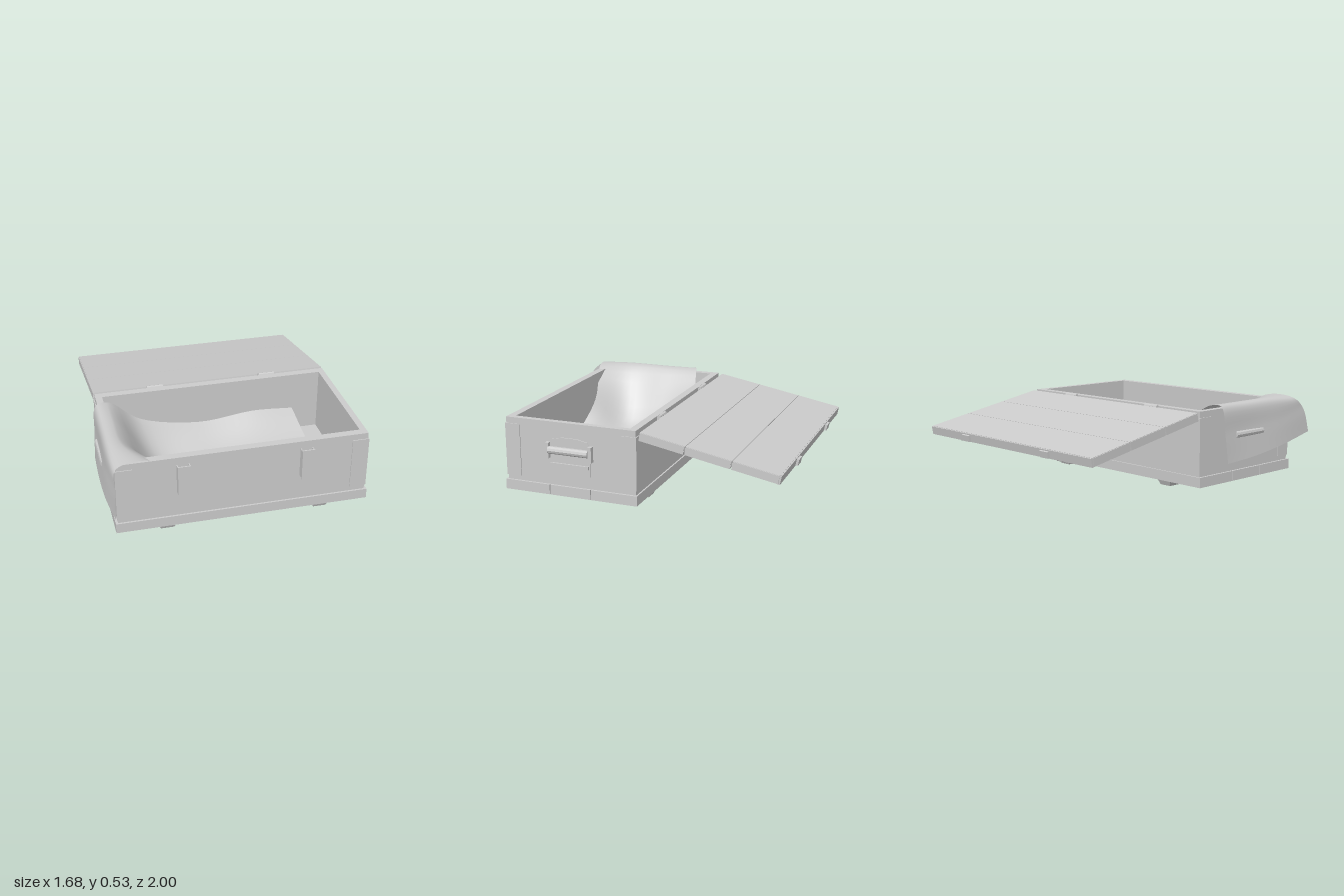
import * as THREE from 'three';

const mat = new THREE.MeshStandardMaterial({ color: 0xcccccc, flatShading: true });
const clothMat = new THREE.MeshStandardMaterial({ color: 0xcccccc, side: THREE.DoubleSide });

function add(parent, name, geo, x = 0, y = 0, z = 0, material = mat) {
  const m = new THREE.Mesh(geo, material);
  m.name = name;
  m.position.set(x, y, z);
  parent.add(m);
  return m;
}

// Box given by its minimum and maximum on each axis
function block(parent, name, x0, x1, y0, y1, z0, z1) {
  return add(parent, name, new THREE.BoxGeometry(x1 - x0, y1 - y0, z1 - z0),
    (x0 + x1) / 2, (y0 + y1) / 2, (z0 + z1) / 2);
}

// Batten with sloping sides, running along z, wide face up, ends tapered
function batten(parent, name, x, top, height, z0, z1) {
  const geo = new THREE.BoxGeometry(0.12, height, z1 - z0);
  const p = geo.attributes.position;
  for (let i = 0; i < p.count; i++) {
    if (p.getY(i) < 0) p.setXYZ(i, p.getX(i) * 0.68, p.getY(i), p.getZ(i) * 0.96);
  }
  geo.computeVertexNormals();
  return add(parent, name, geo, x, top - height / 2, (z0 + z1) / 2);
}

const W = 0.785, BACK = -0.08, FRONT = 0.8, TOP = 0.51;

function makeBody() {
  const g = new THREE.Group();
  g.name = 'crateBody';
  // Walls as one ring, extruded upwards
  const ring = new THREE.Shape([[-W, -FRONT], [W, -FRONT], [W, -BACK], [-W, -BACK]]
    .map(([a, b]) => new THREE.Vector2(a, b)));
  ring.holes.push(new THREE.Path([[-0.74, -0.75], [-0.74, 0.03], [0.745, 0.03], [0.745, -0.75]]
    .map(([a, b]) => new THREE.Vector2(a, b))));
  const walls = new THREE.ExtrudeGeometry(ring, { depth: TOP - 0.09, bevelEnabled: false });
  walls.rotateX(-Math.PI / 2);
  add(g, 'walls', walls, 0, 0.09, 0);

  // Floor planks
  for (let i = 0; i < 3; i++) {
    const z = BACK + 0.01 + i * 0.287;
    block(g, 'floorPlank', -0.775, 0.775, 0.04, 0.092, z, z + 0.284);
  }
  // Base trim
  block(g, 'baseTrimFront', -0.79, 0.79, 0.035, 0.1, 0.79, 0.812);
  block(g, 'baseTrimBack', -0.79, 0.79, 0.035, 0.1, -0.09, -0.07);
  for (const s of [-1, 1]) {
    const x = s * 0.79;
    for (const [a, b] of [[-0.09, 0.217], [0.222, 0.498], [0.503, 0.812]])
      block(g, 'baseTrimSide', x - 0.01, x + 0.01, 0.035, 0.1, a, b);
  }
  // Corner guards: a thin plate on each face
  for (const s of [-1, 1]) for (const [z, d] of [[FRONT, 1], [BACK, -1]]) {
    const xo = s * (W + 0.006), xi = s * 0.685, zo = z + d * 0.006, zi = z - d * 0.095;
    const span = (a, b) => [Math.min(a, b), Math.max(a, b)];
    block(g, 'cornerGuard', ...span(xo, xi), 0.13, 0.47, ...span(z - d * 0.01, zo));
    block(g, 'cornerGuard', ...span(xo, s * (W - 0.01)), 0.13, 0.47, ...span(zo, zi));
  }
  for (const x of [-0.48, 0.5]) batten(g, 'runner', x, 0.042, 0.042, BACK, FRONT);
  return g;
}

function makeHandle(side) {
  const g = new THREE.Group();
  g.name = 'handle';
  // Back plate with an arched top, facing +z before turning
  const s = new THREE.Shape();
  s.moveTo(-0.14, -0.12); s.lineTo(0.14, -0.12); s.lineTo(0.14, 0.07);
  s.lineTo(0.12, 0.1); s.lineTo(0.05, 0.115); s.lineTo(-0.05, 0.115);
  s.lineTo(-0.12, 0.1); s.lineTo(-0.14, 0.07);
  add(g, 'handlePlate', new THREE.ExtrudeGeometry(s, { depth: 0.008, bevelEnabled: false }));
  const bar = add(g, 'handleGrip', new THREE.CylinderGeometry(0.024, 0.024, 0.27, 10), 0, 0.035, 0.026);
  bar.rotation.z = Math.PI / 2;
  for (const x of [-0.145, 0.145])
    block(g, 'handleBracket', x - 0.012, x + 0.012, -0.02, 0.08, 0, 0.032);
  block(g, 'handleLedge', -0.13, 0.13, -0.07, -0.05, 0, 0.02);
  g.position.set(side * W, 0.3, 0.36);
  g.rotation.y = side * Math.PI / 2;
  return g;
}

// Channel-shaped latch hanging on the front
function makeLatch(x) {
  const g = new THREE.Group();
  g.name = 'latch';
  block(g, 'latchPlate', -0.04, 0.04, 0.26, 0.47, 0.838, 0.846);
  for (const s of [-1, 1]) block(g, 'latchFlange', s * 0.037 - 0.003, s * 0.037 + 0.003, 0.27, 0.46, FRONT, 0.84);
  g.position.x = x;
  return g;
}

function makeHinge(x) {
  const g = new THREE.Group();
  g.name = 'hinge';
  const pin = add(g, 'hingePin', new THREE.CylinderGeometry(0.012, 0.012, 0.11, 8), 0, 0.505, -0.094);
  pin.rotation.z = Math.PI / 2;
  // Strap on the back wall ending in a point
  const s = new THREE.Shape();
  s.moveTo(-0.05, 0.5); s.lineTo(-0.05, 0.33); s.lineTo(-0.015, 0.33); s.lineTo(0, 0.29);
  s.lineTo(0.015, 0.33); s.lineTo(0.05, 0.33); s.lineTo(0.05, 0.5);
  add(g, 'hingeStrap', new THREE.ExtrudeGeometry(s, { depth: 0.008, bevelEnabled: false }), 0, 0, -0.088);
  g.position.x = x;
  return g;
}

function makeLid() {
  const g = new THREE.Group();
  g.name = 'lid';
  const len = 0.885;
  // Three planks
  for (let i = 0; i < 3; i++) {
    const z = -i * len / 3;
    block(g, 'lidPlank', -0.785, 0.785, -0.04, 0, z - len / 3 + 0.003, z);
  }
  // Edge trim
  for (const s of [-1, 1]) for (let i = 0; i < 3; i++) {
    const z = -i * len / 3;
    block(g, 'lidSideTrim', s * 0.78 - 0.01, s * 0.78 + 0.01, -0.052, -0.002, z - len / 3 + 0.006, z - 0.003);
  }
  block(g, 'lidEndTrim', -0.785, 0.785, -0.055, -0.002, -len - 0.005, -len + 0.012);
  block(g, 'lidHingeTrim', -0.785, 0.785, -0.055, -0.002, -0.015, 0);
  for (const x of [-0.48, 0.48]) batten(g, 'lidBatten', x, -0.038, 0.036, -len + 0.01, -0.01);
  for (const x of [-0.385, 0.39]) block(g, 'latchCatch', x - 0.037, x + 0.037, -0.05, -0.01, -len - 0.02, -len);
  g.position.set(0, 0.505, -0.108);
  g.rotation.x = -0.186;
  return g;
}

// Cloth: control rows from the far end inside to the hem outside, each back to front
const clothRows = [
  [[0.56, 0.26, -0.02], [0.6, 0.13, 0.22], [0.61, 0.1, 0.45], [0.63, 0.13, 0.68]],
  [[0.28, 0.28, -0.01], [0.26, 0.15, 0.22], [0.3, 0.11, 0.45], [0.36, 0.13, 0.63]],
  [[-0.1, 0.25, 0], [-0.1, 0.14, 0.25], [-0.1, 0.11, 0.5], [-0.1, 0.16, 0.74]],
  [[-0.5, 0.34, 0.02], [-0.44, 0.18, 0.28], [-0.4, 0.15, 0.5], [-0.35, 0.34, 0.72]],
  [[-0.71, 0.52, 0.07], [-0.71, 0.52, 0.3], [-0.7, 0.52, 0.58], [-0.6, 0.52, 0.8]],
  [[-0.8, 0.525, 0.1], [-0.8, 0.52, 0.33], [-0.8, 0.52, 0.62], [-0.79, 0.515, 0.85]],
  [[-0.82, 0.35, 0.12], [-0.82, 0.36, 0.36], [-0.825, 0.38, 0.66], [-0.81, 0.43, 0.95]],
  [[-0.83, 0.16, 0.14], [-0.84, 0.18, 0.4], [-0.84, 0.22, 0.7], [-0.82, 0.27, 1.0]],
];

function makeCloth() {
  const nu = 42, nv = 18, pos = [], idx = [];
  const curve = pts => new THREE.CatmullRomCurve3(pts, false, 'centripetal');
  const lengthwise = [0, 1, 2, 3].map(c => curve(clothRows.map(r => new THREE.Vector3(...r[c]))));
  for (let i = 0; i <= nu; i++) {
    const across = curve(lengthwise.map(c => c.getPoint(i / nu)));
    for (let j = 0; j <= nv; j++) pos.push(...across.getPoint(j / nv).toArray());
  }
  for (let i = 0; i < nu; i++) for (let j = 0; j < nv; j++) {
    const a = i * (nv + 1) + j, b = a + nv + 1;
    idx.push(a, b, a + 1, b, b + 1, a + 1);
  }
  const geo = new THREE.BufferGeometry();
  geo.setAttribute('position', new THREE.Float32BufferAttribute(pos, 3));
  geo.setIndex(idx);
  geo.computeVertexNormals();
  return geo;
}

export function createModel() {
  const model = new THREE.Group();
  model.name = 'openCrate';
  model.add(makeBody(), makeLid(), makeHandle(1), makeHandle(-1));
  for (const x of [-0.38, 0.39]) model.add(makeLatch(x), makeHinge(x));
  add(model, 'drapedCloth', makeCloth(), 0, 0, 0, clothMat);
  return model;
}
